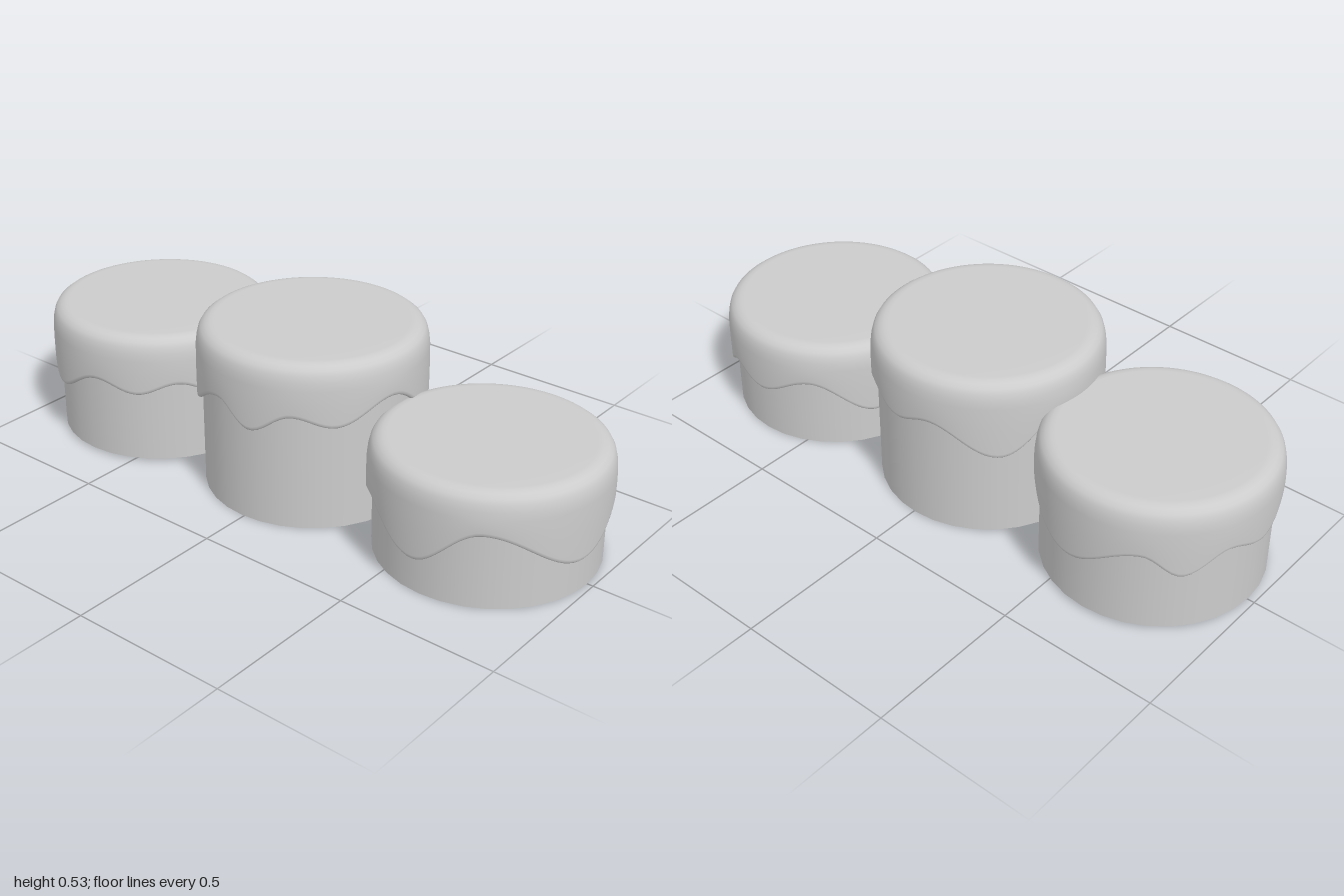
import * as THREE from 'three';

const DRUM_R = 0.336;
const SEG = 120;

// Drip edge: [angle in degrees, drop below the top], alternating low and high points
const DRIPS = [
  [10, 0.25], [60, 0.125], [94, 0.25], [129, 0.155], [150, 0.19], [172, 0.157],
  [205, 0.24], [240, 0.13], [270, 0.195], [291, 0.162], [313, 0.225], [332, 0.16], [370, 0.25],
];

function dripDrop(deg) {
  let a = ((deg % 360) + 360) % 360;
  if (a < DRIPS[0][0]) a += 360;
  let i = 0;
  while (i < DRIPS.length - 2 && a > DRIPS[i + 1][0]) i++;
  const [a0, d0] = DRIPS[i], [a1, d1] = DRIPS[i + 1];
  const t = (1 - Math.cos(Math.PI * (a - a0) / (a1 - a0))) / 2;
  return d0 + (d1 - d0) * t;
}

// Cross-section of the icing from the top centre down to the tucked-in lip
function icingProfile(drop) {
  return [
    [0, 0], [0.15, 0], [0.295, 0], [0.31, -0.001], [0.324, -0.006], [0.337, -0.016],
    [0.345, -0.03], [0.35, -0.05], [0.353, -0.075],
    [0.354, -(0.075 + drop - 0.014) / 2], [0.354, -drop + 0.014],
    [0.353, -drop + 0.006], [0.349, -drop + 0.001], [0.344, -drop], [0.334, -drop + 0.004],
  ];
}

function icingGeometry(turn) {
  const pos = [], index = [];
  let rows = 0;
  for (let s = 0; s <= SEG; s++) {
    const deg = (s % SEG) * 360 / SEG, a = THREE.MathUtils.degToRad(deg);
    const profile = icingProfile(dripDrop(deg - turn));
    rows = profile.length;
    for (const [r, y] of profile) pos.push(r * Math.cos(a), y, r * Math.sin(a));
  }
  for (let s = 0; s < SEG; s++) {
    for (let j = 0; j < rows - 1; j++) {
      const a = s * rows + j, b = a + 1, c = a + rows, d = c + 1;
      if (j > 0) index.push(a, c, b);
      index.push(b, c, d);
    }
  }
  const geo = new THREE.BufferGeometry();
  geo.setAttribute('position', new THREE.Float32BufferAttribute(pos, 3));
  geo.setIndex(index);
  geo.computeVertexNormals();
  // Join the normals where the sweep closes
  const n = geo.attributes.normal, v = new THREE.Vector3(), w = new THREE.Vector3();
  for (let j = 0; j < rows; j++) {
    const k = SEG * rows + j;
    v.fromBufferAttribute(n, j).add(w.fromBufferAttribute(n, k)).normalize();
    if (j === 0) v.set(0, 1, 0);
    n.setXYZ(j, v.x, v.y, v.z);
    n.setXYZ(k, v.x, v.y, v.z);
  }
  // Centre vertices all face up
  for (let s = 0; s <= SEG; s++) n.setXYZ(s * rows, 0, 1, 0);
  return geo;
}

export function createModel() {
  const model = new THREE.Group();
  model.name = 'podium';
  const mat = new THREE.MeshStandardMaterial({ color: 0xcccccc, side: THREE.DoubleSide });

  function addStep(name, x, base, top, turn) {
    const step = new THREE.Group();
    step.name = name;
    step.position.x = x;

    // Open-bottomed drum
    const h = top - 0.02 - base;
    const drum = new THREE.Mesh(new THREE.CylinderGeometry(DRUM_R, DRUM_R, h, 32, 1, true), mat);
    drum.name = 'drum';
    drum.position.y = base + h / 2;

    // Dripping icing cap
    const icing = new THREE.Mesh(icingGeometry(turn), mat);
    icing.name = 'icing';
    icing.position.y = top;

    step.add(drum, icing);
    model.add(step);
  }

  addStep('secondStep', -0.645, 0.008, 0.43, 270);
  addStep('firstStep', -0.008, 0, 0.533, 130);
  addStep('thirdStep', 0.645, 0, 0.362, 0);
  return model;
}
